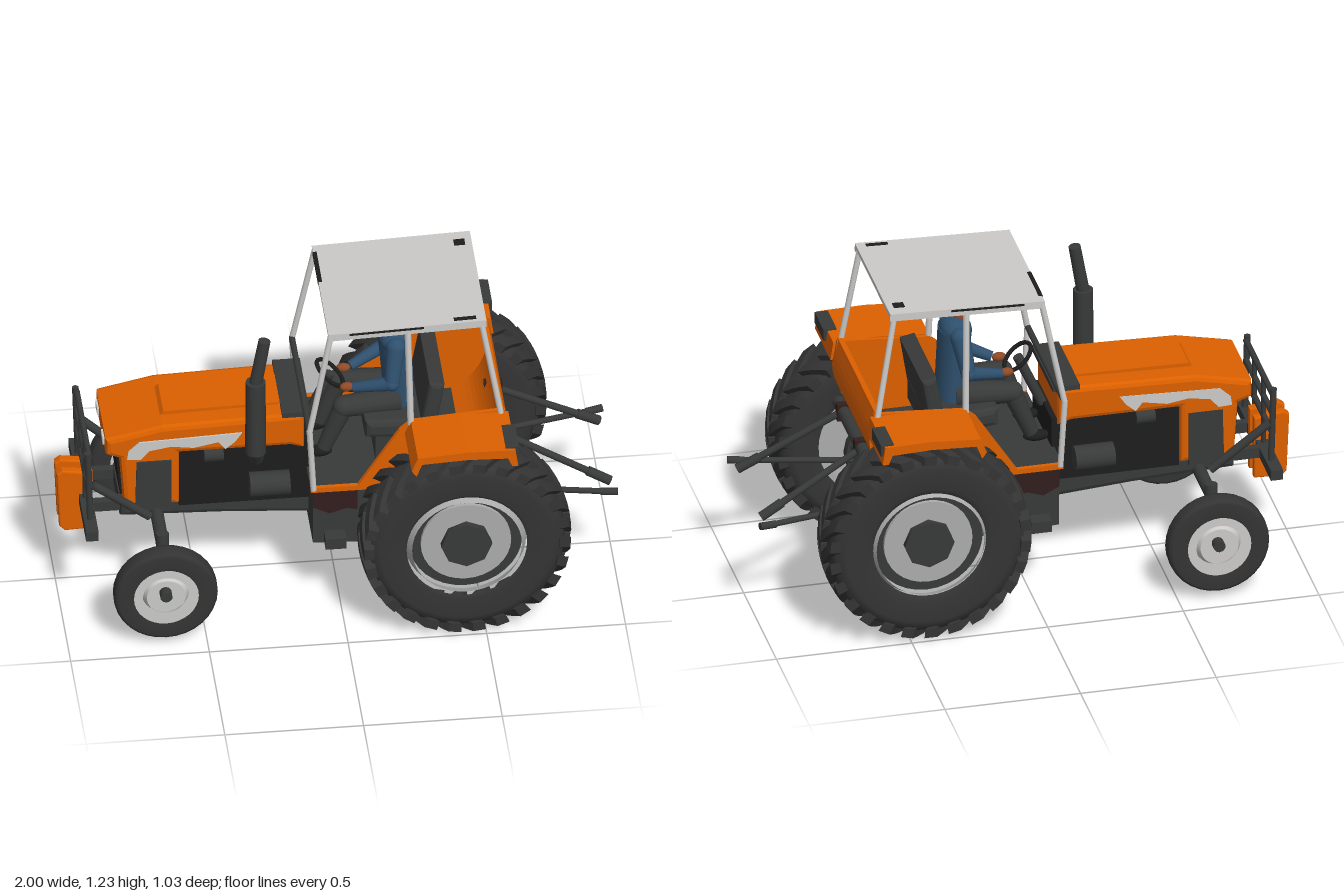
import * as THREE from 'three';
import { mergeGeometries } from 'three/addons/utils/BufferGeometryUtils.js';

const mat = (name, color, side = THREE.FrontSide) => {
  const m = new THREE.MeshStandardMaterial({ color, side });
  m.name = name;
  return m;
};

export function createModel() {
  const M = {
    orange: mat('orange paint', 0xdc6000),
    grey: mat('light grey', 0xcbcac8, THREE.DoubleSide),
    rim: mat('rim grey', 0xacacac, THREE.DoubleSide),
    tyre: mat('tyre rubber', 0x343434),
    dark: mat('dark grey', 0x383939),
    black: mat('engine black', 0x1e1d1d),
    brown: mat('dark brown', 0x321e1d),
    navy: mat('navy lining', 0x003fa8),
    shirt: mat('blue shirt', 0x2f506e),
    skin: mat('skin', 0x8e4a28),
  };
  const root = new THREE.Group();
  root.name = 'tractor';
  const V = (x, y, z) => new THREE.Vector3(x, y, z);

  const add = (name, geo, m, x = 0, y = 0, z = 0, parent = root) => {
    const mesh = new THREE.Mesh(geo, m);
    mesh.name = name;
    mesh.position.set(x, y, z);
    parent.add(mesh);
    return mesh;
  };
  const box = (name, m, x0, x1, y0, y1, z0, z1, parent = root) =>
    add(name, new THREE.BoxGeometry(x1 - x0, y1 - y0, z1 - z0), m,
      (x0 + x1) / 2, (y0 + y1) / 2, (z0 + z1) / 2, parent);
  // tapered round bar between two points
  const rod = (name, m, a, b, r0, r1 = r0, sides = 12) => {
    const d = b.clone().sub(a);
    const mesh = add(name, new THREE.CylinderGeometry(r1, r0, d.length(), sides), m);
    mesh.position.copy(a).addScaledVector(d, 0.5);
    mesh.quaternion.setFromUnitVectors(V(0, 1, 0), d.normalize());
    return mesh;
  };
  const ball = (name, m, p, rx, ry = rx, rz = rx) => {
    const b = add(name, new THREE.SphereGeometry(1, 18, 12), m, ...p);
    b.scale.set(rx, ry, rz);
    return b;
  };
  // side profile in x,y pulled from z0 to z1
  const slab = (name, m, pts, z0, z1, bevel = 0) => {
    const geo = new THREE.ExtrudeGeometry(new THREE.Shape(pts.map((p) => new THREE.Vector2(...p))), {
      depth: z1 - z0 - 2 * bevel, bevelEnabled: bevel > 0, bevelSize: bevel,
      bevelThickness: bevel, bevelOffset: -bevel, bevelSegments: 2,
    });
    return add(name, geo, m, 0, 0, z0 + bevel);
  };
  const both = (fn) => [1, -1].forEach(fn);
  const side = (s, a, b) => (s > 0 ? [a, b] : [-b, -a]);
  const disc = (r, h, n = 32) => new THREE.CylinderGeometry(r, r, h, n).rotateX(Math.PI / 2);
  const tube = (r0, r1, h) => new THREE.CylinderGeometry(r0, r1, h, 40, 1, true).rotateX(Math.PI / 2);
  const lathe = (pts, n) =>
    new THREE.LatheGeometry(pts.map((p) => new THREE.Vector2(...p)), n).rotateX(Math.PI / 2);

  // one curved tread bar, slanting from the shoulder to the middle of the tyre
  const lug = (angle, s) => {
    const g = new THREE.BoxGeometry(1, 1, 1, 1, 1, 4);
    const p = g.attributes.position;
    for (let i = 0; i < p.count; i++) {
      const t = p.getZ(i) + 0.5;
      const a = angle + p.getX(i) * 0.125 - 0.27 * (1 - t);
      const r = p.getY(i) > 0 ? 0.384 - 0.012 * t * t : 0.335;
      p.setXYZ(i, r * Math.cos(a), r * Math.sin(a), s * (t * 0.104 - 0.004));
    }
    if (s > 0) g.index.array.reverse();
    g.computeVertexNormals();
    return g;
  };

  // rear wheels
  const lugs = [];
  const COUNT = 26;
  for (let i = 0; i < COUNT; i++) both((s) =>
    lugs.push(lug(((i + (s > 0 ? 0 : 0.5)) / COUNT) * Math.PI * 2, s)));
  const tread = mergeGeometries(lugs);
  const rearTyre = lathe([[0.208, -0.08], [0.23, -0.092], [0.31, -0.095], [0.345, -0.085], [0.357, -0.05],
    [0.36, 0], [0.357, 0.05], [0.345, 0.085], [0.31, 0.095], [0.23, 0.092], [0.217, 0.085]], 48);
  both((s) => {
    const w = new THREE.Group();
    w.name = s > 0 ? 'rearWheelLeft' : 'rearWheelRight';
    w.position.set(0.43, 0.386, 0.398 * s);
    root.add(w);
    add('tyre', rearTyre, M.tyre, 0, 0, 0, w);
    add('tread', tread, M.tyre, 0, 0, 0, w);
    const rim = new THREE.Group();
    rim.name = 'rim';
    if (s < 0) rim.rotation.y = Math.PI;
    w.add(rim);
    add('rimWall', tube(0.198, 0.219, 0.05), M.rim, 0, 0, 0.067, rim);
    add('rimBarrel', tube(0.206, 0.206, 0.13), M.rim, 0, 0, -0.025, rim);
    add('rimEdge', new THREE.RingGeometry(0.2, 0.22, 40), M.rim, 0, 0, -0.093, rim);
    add('rimShadowRing', disc(0.203, 0.012), M.dark, 0, 0, 0.04, rim);
    add('rimDisc', disc(0.163, 0.03), M.rim, 0, 0, 0.045, rim);
    add('rimBack', disc(0.2, 0.01), M.rim, 0, 0, 0.028, rim);
    add('hub', disc(0.092, 0.05, 8), M.dark, 0, 0, 0.058, rim);
  });

  // front wheels
  const frontTyre = lathe([[0.112, -0.03], [0.12, -0.036], [0.172, -0.037], [0.183, -0.031], [0.187, -0.02], [0.188, 0],
    [0.187, 0.02], [0.183, 0.031], [0.172, 0.037], [0.12, 0.036], [0.112, 0.03]], 32);
  both((s) => {
    const w = new THREE.Group();
    w.name = s > 0 ? 'frontWheelLeft' : 'frontWheelRight';
    w.position.set(-0.648, 0.214, 0.403 * s);
    if (s < 0) w.rotation.y = Math.PI;
    root.add(w);
    add('tyre', frontTyre, M.tyre, 0, 0, 0, w);
    add('rim', tube(0.113, 0.113, 0.062), M.grey, 0, 0, 0, w);
    add('rimEdge', new THREE.RingGeometry(0.085, 0.117, 32), M.grey, 0, 0, 0.037, w);
    add('rimDish', tube(0.07, 0.085, 0.03), M.grey, 0, 0, 0.021, w);
    add('rimDisc', disc(0.112, 0.012), M.grey, 0, 0, -0.002, w);
    add('hub', disc(0.022, 0.05, 10), M.dark, 0, 0, 0.014, w);
    rod('steeringPin', M.dark, V(-0.648, 0.2, 0.325 * s), V(-0.648, 0.4, 0.305 * s), 0.024);
    rod('stubAxle', M.dark, V(-0.648, 0.214, 0.31 * s), V(-0.648, 0.214, 0.39 * s), 0.022);
  });
  rod('frontAxle', M.dark, V(-0.648, 0.36, -0.31), V(-0.648, 0.36, 0.31), 0.024);

  // hood with grille, side panels and stripes
  slab('hood', M.orange, [[-0.835, 0.72], [-0.835, 0.655], [-0.785, 0.635], [-0.77, 0.42], [-0.57, 0.42], [-0.57, 0.645],
    [-0.17, 0.645], [-0.12, 0.63], [-0.12, 0.78], [-0.63, 0.765]], -0.167, 0.163, 0.018);
  slab('hoodCrest', M.orange, [[-0.64, 0.755], [-0.2, 0.775], [-0.2, 0.787], [-0.62, 0.78]], -0.085, 0.085);
  box('dashTop', M.dark, -0.2, -0.1, 0.77, 0.79, -0.165, 0.16);
  slab('grille', M.black, [[-0.795, 0.64], [-0.78, 0.45], [-0.76, 0.45], [-0.76, 0.64]], -0.12, 0.12);
  both((s) => {
    box('headlight', M.grey, -0.842, -0.834, 0.675, 0.7, ...side(s, 0.06, 0.12));
    slab('sideGrille', M.dark, [[-0.73, 0.42], [-0.6, 0.405], [-0.6, 0.62], [-0.725, 0.62]], ...side(s, 0.16, 0.17));
    slab('hoodStripe', M.grey, [[-0.76, 0.635], [-0.755, 0.67], [-0.715, 0.708], [-0.6, 0.712], [-0.345, 0.722],
      [-0.37, 0.685], [-0.405, 0.655], [-0.43, 0.688], [-0.52, 0.67], [-0.6, 0.682], [-0.68, 0.668], [-0.71, 0.632]],
    ...side(s, 0.161, 0.169));
    rod('engineCanister', M.dark, V(-0.32, 0.495, 0.175 * s), V(-0.175, 0.495, 0.175 * s), 0.046, 0.046, 16);
    rod('engineBracket', M.dark, V(-0.48, 0.615, 0.135 * s), V(-0.41, 0.615, 0.135 * s), 0.03);
  });
  box('engine', M.black, -0.57, -0.1, 0.4, 0.65, -0.145, 0.145);
  slab('chassis', M.dark, [[-0.78, 0.35], [-0.4, 0.335], [-0.05, 0.31], [-0.05, 0.42], [-0.78, 0.42]], -0.125, 0.125, 0.02);

  // exhaust
  rod('muffler', M.dark, V(-0.3, 0.66, 0.2), V(-0.3, 0.97, 0.2), 0.038, 0.036, 16);
  rod('exhaustPipe', M.dark, V(-0.3, 0.96, 0.2), V(-0.268, 1.15, 0.2), 0.024, 0.022, 16);
  rod('exhaustElbow', M.dark, V(-0.3, 0.68, 0.2), V(-0.29, 0.58, 0.13), 0.028);

  // front guard, bumper and weights
  box('bumper', M.dark, -0.92, -0.875, 0.37, 0.41, -0.285, 0.285);
  [0.68, 0.6, 0.52].forEach((y) => rod('guardBar', M.dark, V(-0.9, y, -0.2), V(-0.9, y, 0.2), 0.011));
  [-0.07, 0.07].forEach((z) => rod('guardPost', M.dark, V(-0.9, 0.4, z), V(-0.9, 0.68, z), 0.009));
  both((s) => {
    rod('guardPost', M.dark, V(-0.895, 0.38, 0.2 * s), V(-0.905, 0.7, 0.2 * s), 0.012);
    rod('guardBrace', M.dark, V(-0.89, 0.56, 0.2 * s), V(-0.68, 0.38, 0.17 * s), 0.016);
    box('bumperArm', M.dark, -0.89, -0.68, 0.37, 0.41, ...side(s, 0.08, 0.11));
    slab('frontWeight', M.orange, [[-0.99, 0.27], [-0.97, 0.25], [-0.87, 0.255], [-0.87, 0.5], [-0.98, 0.515], [-1, 0.5]],
      ...side(s, 0.018, 0.052), 0.006);
  });

  // transmission and rear axle
  slab('gearbox', M.dark, [[-0.1, 0.28], [0.1, 0.27], [0.5, 0.27], [0.5, 0.53], [-0.1, 0.53]], -0.26, 0.26);
  box('gearboxRear', M.brown, 0.49, 0.52, 0.285, 0.545, -0.26, 0.26);
  add('rearAxle', disc(0.075, 0.8, 16), M.dark, 0.43, 0.386, 0);
  both((s) => {
    add('axleFlange', disc(0.13, 0.04, 16), M.dark, 0.43, 0.36, 0.28 * s);
    box('step', M.dark, -0.06, 0.015, 0.285, 0.33, ...side(s, 0.25, 0.315));
    slab('sidePlate', M.brown, [[-0.1, 0.44], [-0.04, 0.41], [0.02, 0.43], [0.06, 0.42], [0.06, 0.515], [-0.1, 0.515]],
      ...side(s, 0.258, 0.266));
  });

  // cab floor, side walls, fenders and rear panel
  box('cabFloor', M.dark, -0.11, 0.5, 0.515, 0.535, -0.275, 0.275);
  both((s) => {
    slab('sideWall', M.orange, [[-0.11, 0.52], [0.5, 0.52], [0.575, 0.62], [0.605, 0.74], [0.59, 0.835], [0.25, 0.81],
      [0.21, 0.775], [0.06, 0.54], [-0.11, 0.54]], ...side(s, 0.268, 0.285));
    slab('fender', M.orange, [[0.245, 0.735], [0.265, 0.787], [0.43, 0.795], [0.575, 0.79], [0.59, 0.755], [0.612, 0.755],
      [0.602, 0.825], [0.43, 0.828], [0.25, 0.815], [0.228, 0.76]], ...side(s, 0.28, 0.517));
    box('rearLamp', M.dark, 0.568, 0.616, 0.785, 0.83, ...side(s, 0.368, 0.505));
  });
  const curve = new THREE.SplineCurve([[0.47, 0.53], [0.545, 0.585], [0.59, 0.66], [0.605, 0.74], [0.585, 0.842]]
    .map((p) => new THREE.Vector2(...p))).getPoints(18).map((p) => [p.x, p.y]);
  slab('rearPanel', M.orange, [...curve, ...curve.map(([x, y]) => [x - 0.018, y + 0.002]).reverse()], -0.283, 0.283);

  // roof with lining, worn edge patches and posts
  const roof = new THREE.Group();
  roof.name = 'roof';
  roof.position.set(0.24, 1.21, 0);
  roof.rotation.z = 0.035;
  root.add(roof);
  box('roofPanel', M.grey, -0.285, 0.285, -0.008, 0.009, -0.27, 0.27, roof);
  box('roofLining', M.navy, -0.268, 0.268, -0.016, -0.008, -0.252, 0.252, roof);
  box('wornFrontEdge', M.black, -0.287, -0.272, -0.004, 0.011, -0.23, -0.05, roof);
  box('wornCorner', M.black, 0.22, 0.26, 0.006, 0.011, -0.225, -0.19, roof);
  box('wornCorner', M.black, 0.17, 0.25, 0.006, 0.011, 0.238, 0.256, roof);
  both((s) => {
    box('roofRail', M.grey, -0.285, 0.285, -0.02, -0.008, ...side(s, 0.252, 0.27), roof);
    box('wornSideEdge', M.black, -0.21, 0.06, -0.002, 0.006, ...side(s, 0.262, 0.272), roof);
    rod('frontPost', M.grey, V(-0.115, 0.79, 0.285 * s), V(-0.035, 1.2, 0.26 * s), 0.011);
    rod('frontPostLower', M.grey, V(-0.1, 0.53, 0.28 * s), V(-0.115, 0.8, 0.285 * s), 0.011);
    rod('middlePost', M.grey, V(0.25, 0.8, 0.285 * s), V(0.242, 1.2, 0.26 * s), 0.012);
    rod('rearPost', M.grey, V(0.575, 0.82, 0.285 * s), V(0.508, 1.21, 0.26 * s), 0.011);
  });
  rod('windscreenBar', M.dark, V(-0.115, 0.795, -0.285), V(-0.115, 0.795, 0.285), 0.011);

  // seat and steering
  box('seatBase', M.dark, 0.14, 0.34, 0.53, 0.66, -0.13, 0.13);
  slab('seatCushion', M.dark, [[0.1, 0.66], [0.36, 0.64], [0.36, 0.72], [0.1, 0.73]], -0.17, 0.17, 0.02);
  slab('seatBack', M.dark, [[0.29, 0.66], [0.35, 0.66], [0.385, 0.88], [0.33, 0.89]], -0.18, 0.18, 0.015);
  rod('steeringColumn', M.dark, V(-0.1, 0.64, 0), V(-0.01, 0.84, 0), 0.018);
  add('steeringWheel', new THREE.TorusGeometry(0.062, 0.008, 8, 24), M.black, -0.01, 0.84, 0)
    .quaternion.setFromUnitVectors(V(0, 0, 1), V(0.66, 0.75, 0).normalize());

  // driver
  rod('torso', M.shirt, V(0.24, 0.72, 0), V(0.222, 0.99, 0), 0.078, 0.085, 20).scale.set(0.7, 1, 1.05);
  ball('shoulders', M.shirt, [0.22, 0.99, 0], 0.058, 0.05, 0.095);
  rod('neck', M.skin, V(0.21, 1.01, 0), V(0.198, 1.07, 0), 0.026);
  ball('face', M.skin, [0.181, 1.085, 0], 0.037, 0.05, 0.034);
  ball('hair', M.dark, [0.196, 1.105, 0], 0.046, 0.05, 0.044);
  both((s) => {
    ball('shoulder', M.shirt, [0.22, 0.99, 0.075 * s], 0.037);
    rod('upperArm', M.shirt, V(0.22, 0.99, 0.078 * s), V(0.2, 0.86, 0.118 * s), 0.036, 0.027);
    ball('elbow', M.shirt, [0.2, 0.86, 0.118 * s], 0.028);
    rod('forearm', M.shirt, V(0.2, 0.86, 0.118 * s), V(0.07, 0.815, 0.065 * s), 0.027, 0.019);
    ball('hand', M.skin, [0.045, 0.815, 0.058 * s], 0.026, 0.017, 0.017);
    rod('thigh', M.dark, V(0.23, 0.745, 0.05 * s), V(0.03, 0.745, 0.08 * s), 0.052, 0.04);
    ball('knee', M.dark, [0.03, 0.745, 0.08 * s], 0.04);
    rod('shin', M.dark, V(0.03, 0.745, 0.08 * s), V(-0.04, 0.57, 0.08 * s), 0.038, 0.027);
    ball('shoe', M.black, [-0.06, 0.555, 0.08 * s], 0.05, 0.02, 0.025);
  });

  // rear hitch
  rod('liftShaft', M.dark, V(0.6, 0.625, -0.2), V(0.6, 0.625, 0.2), 0.024, 0.024, 16);
  both((s) => {
    box('shaftBracket', M.brown, 0.56, 0.625, 0.59, 0.655, ...side(s, 0.12, 0.15));
    rod('liftArm', M.dark, V(0.6, 0.62, 0.14 * s), V(0.97, 0.415, 0.18 * s), 0.013);
    rod('lowerLink', M.dark, V(0.5, 0.4, 0.15 * s), V(0.99, 0.41, 0.25 * s), 0.011);
    rod('linkEnd', M.dark, V(0.94, 0.408, 0.24 * s), V(1, 0.412, 0.252 * s), 0.014);
    rod('armEnd', M.dark, V(0.9, 0.454, 0.172 * s), V(0.98, 0.41, 0.181 * s), 0.018);
    rod('linkPin', M.dark, V(0.53, 0.4, 0.1 * s), V(0.53, 0.4, 0.26 * s), 0.014);
    box('drawbarBracket', M.dark, 0.51, 0.58, 0.3, 0.48, ...side(s, 0.045, 0.06));
  });
  rod('powerShaft', M.dark, V(0.5, 0.4, 0), V(0.59, 0.4, 0), 0.03);
  box('drawbar', M.dark, 0.5, 0.62, 0.31, 0.34, -0.05, 0.05);

  return root;
}
